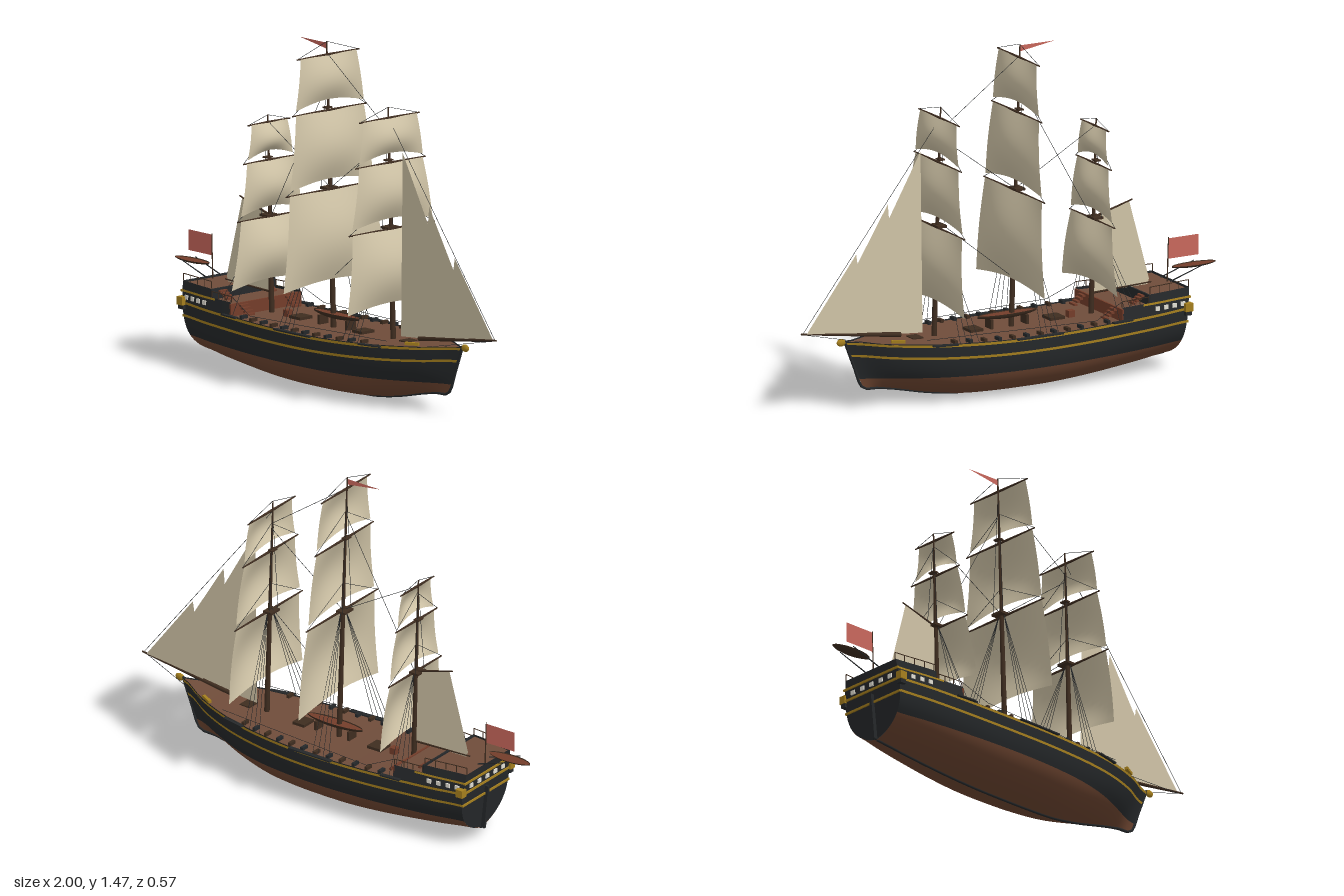
import * as THREE from 'three';
import { ParametricGeometry } from 'three/addons/geometries/ParametricGeometry.js';

const mat = (name, color) =>
  new THREE.MeshStandardMaterial({ name, color, side: THREE.DoubleSide });
const lerp = THREE.MathUtils.lerp;
const V = (x, y, z) => new THREE.Vector3(x, y, z);

// Smooth curve through evenly spaced values, sampled by s in 0..1
function through(values) {
  const c = new THREE.SplineCurve(values.map((v, i) => new THREE.Vector2(i, v)));
  return s => c.getPoint(s).y;
}
const beam = through([.165, .186, .2, .21, .215, .215, .206, .186, .15, .09, .005]);
const keelY = through([.05, .035, .022, .012, .006, .005, .006, .012, .035, .068, .09]);
const sheer = through([.28, .276, .272, .268, .266, .266, .268, .273, .28, .289, .3]);
const fullness = through([.72, .66, .6, .54, .5, .5, .52, .58, .7, .85, 1]);

// Point on the hull skin at station s and height y
function skin(s, y, side = 1, out = 0) {
  const v = (y - keelY(s)) / (sheer(s) - keelY(s)), c = THREE.MathUtils.clamp(v, 0, 1);
  let w = beam(s) * Math.pow(1 - Math.pow(1 - c, 3.3), fullness(s));
  if (v > 1) w -= (y - sheer(s)) * .15;
  return V(lerp(lerp(-.75, .7, s), lerp(-.775, .785, s), v), y, side * (w + out));
}

export function createModel() {
  const ship = new THREE.Group();
  ship.name = 'sailingShip';
  const copper = mat('hullBrown', 0x6f4631), black = mat('hullBlack', 0x25282a);
  const gold = mat('goldTrim', 0xa57f1e), deckWood = mat('deckWood', 0x6f4c3a);
  const spar = mat('darkSpar', 0x3f2d20), canvas = mat('canvas', 0xcfc3a6);
  const flagRed = mat('flagRed', 0xc8675c), glass = mat('windowWhite', 0xe2dfd4);
  const redWood = mat('redWood', 0x743d2a);

  const add = (name, geo, m, parent = ship) => {
    const mesh = new THREE.Mesh(geo, m);
    mesh.name = name;
    parent.add(mesh);
    return mesh;
  };
  const surface = (name, fn, nu, nv, m) => {
    const g = new ParametricGeometry((u, v, t) => t.copy(fn(u, v)), nu, nv);
    g.computeVertexNormals();
    return add(name, g, m);
  };
  const box = (name, w, h, d, x, y, z, m) => {
    const b = add(name, new THREE.BoxGeometry(w, h, d), m);
    b.position.set(x, y, z);
    return b;
  };
  const rod = (name, a, b, r1, r2, m, sides = 8) => {
    const d = b.clone().sub(a);
    const mesh = add(name, new THREE.CylinderGeometry(r2, r1, d.length(), sides), m);
    mesh.position.copy(a).addScaledVector(d, .5);
    mesh.quaternion.setFromUnitVectors(V(0, 1, 0), d.normalize());
    return mesh;
  };
  const rope = (a, b) => rod('rigging', a, b, .0012, .0012, black, 3);

  // Hull planking, one strake per colour on both sides
  const strake = (name, s0, s1, low, high, rows, m, out = 0) => {
    for (const side of [1, -1]) {
      surface(name, (u, v) => {
        const s = lerp(s0, s1, side > 0 ? u : 1 - u);
        return skin(s, lerp(low(s), high(s), v), side, out);
      }, 48, rows, m);
    }
  };
  const waterline = s => .122 + .008 * (2 * s - 1) ** 2;
  strake('lowerHull', 0, 1, keelY, waterline, 12, copper);
  strake('upperHull', 0, 1, waterline, sheer, 8, black);
  strake('lowerGoldBand', 0, 1, s => sheer(s) - .069, s => sheer(s) - .058, 1, gold, .002);
  strake('upperGoldBand', 0, 1, s => sheer(s) - .014, s => sheer(s) - .003, 1, gold, .003);
  strake('quarterdeckSide', 0, .215, sheer, () => .325, 2, black);
  strake('quarterdeckTrim', 0, .15, () => .316, () => .325, 1, gold, .003);
  strake('poopSide', 0, .125, () => .325, () => .36, 2, black);

  // Keel and stem
  const keelLine = [];
  for (let i = 0; i <= 20; i++) keelLine.push(skin(i / 20, keelY(i / 20), 1));
  keelLine.push(V(.745, .19, 0), V(.79, .305, 0));
  add('keel', new THREE.TubeGeometry(new THREE.CatmullRomCurve3(keelLine), 60, .006, 6), black);

  // Transom with trim, windows and rudder
  surface('transom', (u, v) => {
    const p = skin(0, lerp(.05, .36, v));
    p.z *= 2 * u - 1;
    return p;
  }, 8, 16, black);
  for (const y of [.215, .272, .32]) box('sternTrim', .008, .009, .33, skin(0, y).x - .002, y, 0, gold);
  for (let i = -2; i <= 2; i++) box('sternWindow', .008, .018, .022, -.778, .296, i * .056, glass);
  box('rudder', .02, .2, .012, -.768, .15, 0, black).rotation.z = .1;

  // Decks, bulkheads and ladders
  const deck = (name, s0, s1, height) => surface(name, (u, v) => {
    const s = lerp(s0, s1, u), p = skin(s, height(s));
    p.z *= 1 - 2 * v;
    return p;
  }, 40, 4, deckWood);
  deck('mainDeck', .2, 1, s => sheer(s) - .006);
  deck('quarterdeck', 0, .215, () => .313);
  deck('poopDeck', 0, .125, () => .35);
  box('quarterdeckBulkhead', .008, .06, .395, -.44, .288, 0, redWood);
  box('poopBulkhead', .008, .046, .36, -.58, .335, 0, black);
  for (const side of [1, -1]) {
    for (let i = 0; i < 4; i++) {
      box('ladderStep', .014, .008, .045, -.43 + i * .013, .307 - i * .011, side * .13, redWood);
      box('poopStep', .014, .008, .04, -.57 + i * .013, .345 - i * .009, side * .12, redWood);
    }
    // Side windows, stern galleries, catheads and rigging ledges
    for (let i = 0; i < 4; i++) {
      const p = skin(.02 + i * .028, .296, side, .002);
      box('sideWindow', .02, .018, .006, p.x, p.y, p.z, glass);
    }
    box('sternGallery', .035, .035, .03, -.768, .28, side * .172, gold);
    box('sternGalleryFoot', .03, .02, .024, -.767, .255, side * .17, black);
    box('cathead', .06, .012, .014, .59, .298, side * .105, gold).rotation.y = side * .5;
    for (const [a, b] of [[.19, .25], [.41, .55], [.72, .79]]) {
      const p = skin(a, sheer(a), side), q = skin(b, sheer(b), side);
      const ledge = box('channel', p.distanceTo(q), .006, .02,
        (p.x + q.x) / 2, sheer(a) - .002, (p.z + q.z) / 2 + side * .006, black);
      ledge.rotation.y = -Math.atan2(q.z - p.z, q.x - p.x);
    }
    // Guns and belaying posts along the rail
    for (let i = 0; i < 12; i++) {
      const s = .26 + i * .042, p = skin(s, sheer(s) + .005, side, -.02);
      box('gun', .014, .014, .035, p.x, p.y, p.z, i % 2 ? spar : black);
    }
    // Stern and waist railings
    const rails = [[0, .125, 5, .36, .03], [.13, .215, 4, .325, .025]];
    for (const [a, b, n, y, h] of rails) {
      let last = null;
      for (let i = 0; i < n; i++) {
        const p = skin(lerp(a, b, i / (n - 1)), y, side, -.004), top = p.clone().setY(y + h);
        rod('railPost', p, top, .002, .002, spar, 5);
        if (last) rod('handRail', last, top, .002, .002, spar, 5);
        last = top;
      }
    }
    rope(skin(.215, .35, side), skin(.3, .29, side));
    rope(skin(.3, .29, side), skin(.8, .298, side));
    rope(V(.97, .352, 0), skin(.88, .28, side));
  }
  for (const [x, w, d] of [[.17, .06, .07], [-.22, .07, .07], [.45, .05, .06]])
    box('hatch', w, .012, d, x, .272, 0, spar);
  box('capstan', .03, .03, .03, -.3, .275, 0, redWood);

  // Ship's boats, hung astern and stowed amidships
  const boat = (cx, cy, len, wide, tall) => {
    const outline = t => wide * Math.pow(Math.max(0, 1 - t * t), .6);
    surface('boatHull', (u, v) => {
      const t = 2 * u - 1, a = Math.PI * v;
      return V(cx + t * len, cy - Math.sin(a) * tall * (1 - t * t * .6), -Math.cos(a) * outline(t));
    }, 20, 8, spar);
    surface('boatInside', (u, v) => {
      const t = 2 * u - 1;
      return V(cx + t * len, cy - .003, (1 - 2 * v) * outline(t) * .85);
    }, 20, 2, redWood);
  };
  boat(-.895, .411, .105, .032, .014);
  boat(.005, .322, .142, .03, .024);
  for (const z of [-.04, .04]) rod('davit', V(-.76, .36, z), V(-.92, .412, z), .003, .002, black, 5);
  for (const x of [-.08, .09]) box('boatCradle', .012, .04, .05, x, .285, 0, spar);

  // Masts, yards and square sails: [top y, bottom y, top half width, bottom half width]
  const masts = [
    { name: 'fore', bx: .357, tx: .325, top: 1.25, sails: [[1.205, 1.03, .15, .178], [1.015, .755, .178, .225], [.735, .4, .222, .26]] },
    { name: 'main', bx: -.015, tx: -.058, top: 1.47, sails: [[1.415, 1.2, .156, .19], [1.18, .865, .19, .232], [.845, .44, .235, .283]] },
    { name: 'mizzen', bx: -.4, tx: -.425, top: 1.1, sails: [[1.07, .925, .1, .125], [.91, .69, .13, .17], [.67, .385, .17, .23]] },
  ];
  for (const m of masts) {
    const mx = y => lerp(m.bx, m.tx, (y - .25) / (m.top - .25));
    const platform = m.sails[2][0] + .005;
    rod(m.name + 'LowerMast', V(mx(.24), .24, 0), V(mx(platform), platform, 0), .012, .009, spar);
    rod(m.name + 'Topmast', V(mx(platform), platform, 0), V(mx(m.top), m.top, 0), .008, .003, spar);
    box(m.name + 'Top', .045, .01, .06, mx(platform) - .008, platform, 0, spar);
    box(m.name + 'Crosstrees', .025, .006, .035, mx(m.sails[1][0]) - .006, m.sails[1][0] + .01, 0, spar);
    m.sails.forEach(([t, b, wt, wb], i) => {
      const bulge = .03 + .009 * i;
      surface(m.name + 'Sail', (u, v) => {
        const a = 2 * u - 1, c = Math.cos(a * Math.PI / 2);
        return V(mx(lerp(b, t, v)) + .01 + bulge * Math.sin(Math.PI * v) * (.15 + .85 * c),
          lerp(b, t, v) + .028 * c * (1 - v) ** 2, -a * lerp(wb, wt, v));
      }, 16, 12, canvas);
      for (const side of [1, -1]) {
        const end = V(mx(t) + .006, t, side * (wt + .018));
        rod(m.name + 'Yard', V(mx(t) + .006, t, 0), end, .006, .003, spar, 6);
        rope(end, V(mx(t), Math.min(t + .13, m.top), 0));
      }
    });
    // Shrouds fanning aft from each platform
    for (const side of [1, -1]) {
      for (let i = 0; i < 4; i++) {
        const x = m.bx - .02 - i * .028, s = (x + .775) / 1.56;
        rope(skin(s, Math.max(sheer(s), x < -.44 ? .32 : 0), side), V(mx(platform), platform, side * .015));
      }
      rope(V(mx(platform) - .02, platform, side * .03), V(mx(m.sails[0][0]), m.sails[0][0], 0));
    }
  }

  // Bowsprit, figurehead and stays
  rod('bowsprit', V(.52, .295, 0), V(.998, .36, 0), .011, .004, spar);
  const figure = add('figurehead', new THREE.SphereGeometry(.016, 10, 8), gold);
  figure.scale.set(1.4, 1, .6);
  figure.position.set(.805, .298, 0);
  const stays = [[.33, 1.2, .99, .36], [-.05, 1.3, -.4, .68], [.33, 1.12, -.035, .85],
    [.34, .76, -.01, .48], [-.055, 1.42, .325, 1.15], [-.42, 1.07, -.05, .86]];
  for (const [x1, y1, x2, y2] of stays) rope(V(x1, y1, 0), V(x2, y2, 0));

  // Flat cut cloth: jibs, spanker and flags
  const cloth = (name, pts, z, m) => {
    const shape = new THREE.Shape(pts.map(p => new THREE.Vector2(...p)));
    add(name, new THREE.ShapeGeometry(shape), m).position.z = z;
  };
  cloth('innerJib', [[.42, 1.07], [.41, .288], [.7, .312], [.835, .335]], .004, canvas);
  cloth('middleJib', [[.58, .865], [.53, .3], [.75, .318], [.9, .345]], 0, canvas);
  cloth('outerJib', [[.735, .67], [.68, .312], [.975, .356]], -.004, canvas);
  cloth('spanker', [[-.585, .72], [-.68, .375], [-.672, .352], [-.405, .35], [-.415, .68]], 0, canvas);
  rod('gaff', V(-.41, .675, 0), V(-.6, .728, 0), .005, .003, spar, 6);
  rod('boom', V(-.4, .35, 0), V(-.69, .36, 0), .005, .003, spar, 6);
  rod('flagstaff', V(-.768, .35, 0), V(-.774, .54, 0), .003, .002, spar, 6);
  cloth('ensign', [[-.92, .535], [-.92, .447], [-.774, .447], [-.774, .535]], 0, flagRed);
  cloth('pennant', [[-.225, 1.463], [-.057, 1.438], [-.057, 1.464]], 0, flagRed);
  return ship;
}
